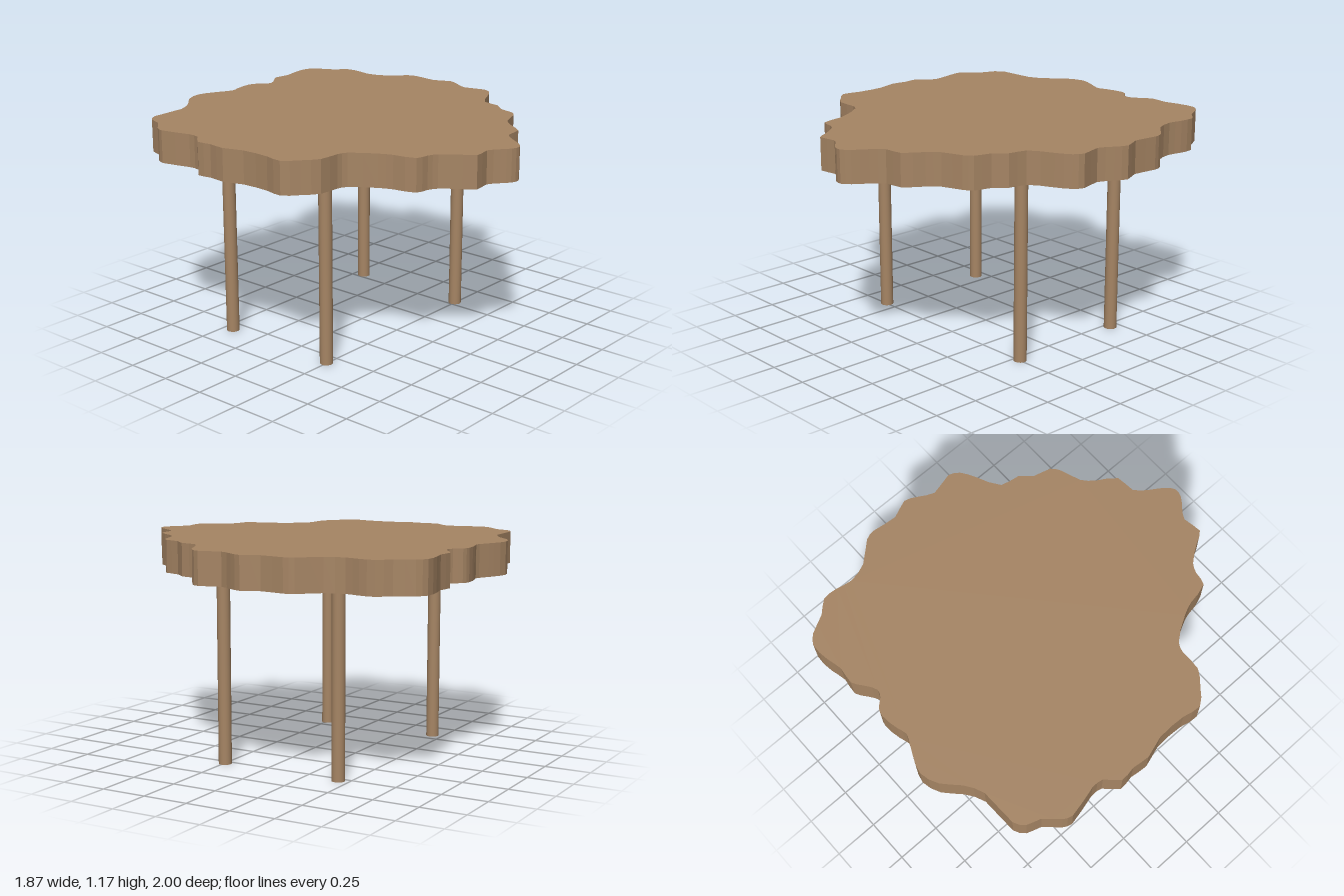
import * as THREE from 'three';

const TOP_Y = 1.175;
const BOTTOM_Y = 1.0;
const LEG_RADIUS = 0.035;

// Wavy rim of the slab as (x, z) pairs, starting at the back
const RIM = [
  -0.25, -1, -0.16, -0.97, -0.1, -0.94, -0.05, -0.92, 0, -0.935, 0.1, -0.95,
  0.145, -0.935, 0.18, -0.895, 0.22, -0.88, 0.28, -0.915, 0.34, -0.955, 0.43, -0.945,
  0.515, -0.965, 0.62, -0.97, 0.67, -0.93, 0.72, -0.835, 0.78, -0.77, 0.78, -0.685,
  0.765, -0.605, 0.795, -0.5, 0.89, -0.395, 0.905, -0.34, 0.89, -0.205, 0.93, -0.11,
  0.9, -0.04, 0.86, 0.04, 0.89, 0.16, 0.86, 0.215, 0.785, 0.26, 0.66, 0.33,
  0.64, 0.43, 0.585, 0.495, 0.56, 0.585, 0.515, 0.62, 0.405, 0.66, 0.35, 0.715,
  0.28, 0.815, 0.18, 0.825, 0.125, 0.885, 0.075, 0.96, 0.03, 0.995, -0.02, 0.985,
  -0.065, 0.95, -0.125, 0.91, -0.225, 0.925, -0.265, 0.865, -0.335, 0.77, -0.385, 0.745,
  -0.455, 0.73, -0.485, 0.61, -0.515, 0.54, -0.6, 0.415, -0.65, 0.395, -0.765, 0.39,
  -0.845, 0.33, -0.915, 0.26, -0.9, 0.16, -0.9, 0, -0.935, -0.11, -0.925, -0.205,
  -0.935, -0.285, -0.87, -0.355, -0.865, -0.42, -0.905, -0.585, -0.885, -0.635, -0.815, -0.71,
  -0.79, -0.785, -0.735, -0.825, -0.535, -0.83, -0.435, -0.885, -0.35, -0.965,
];

function createTabletop(material) {
  const points = [];
  for (let i = 0; i < RIM.length; i += 2) points.push(new THREE.Vector3(RIM[i], RIM[i + 1], 0));
  const curve = new THREE.CatmullRomCurve3(points, true, 'centripetal');
  const outline = curve.getPoints(points.length * 2).slice(0, -1);
  const shape = new THREE.Shape(outline.map((p) => new THREE.Vector2(p.x, p.y)));
  const geometry = new THREE.ExtrudeGeometry(shape, { depth: TOP_Y - BOTTOM_Y, bevelEnabled: false });
  geometry.rotateX(Math.PI / 2); // lay flat: the extrusion runs downwards
  const top = new THREE.Mesh(geometry, material);
  top.name = 'tabletop';
  top.position.y = TOP_Y;
  return top;
}

export function createModel() {
  const table = new THREE.Group();
  table.name = 'table';
  const wood = new THREE.MeshStandardMaterial({ color: 0xa68564 });

  table.add(createTabletop(wood));

  // Four round legs on a rectangle
  const legGeometry = new THREE.CylinderGeometry(LEG_RADIUS, LEG_RADIUS, BOTTOM_Y, 20);
  for (const [side, x] of [['Right', -0.575], ['Left', 0.535]]) {
    for (const [end, z] of [['front', 0.245], ['back', -0.44]]) {
      const leg = new THREE.Mesh(legGeometry, wood);
      leg.name = `${end}${side}Leg`;
      leg.position.set(x, BOTTOM_Y / 2, z);
      table.add(leg);
    }
  }
  return table;
}
